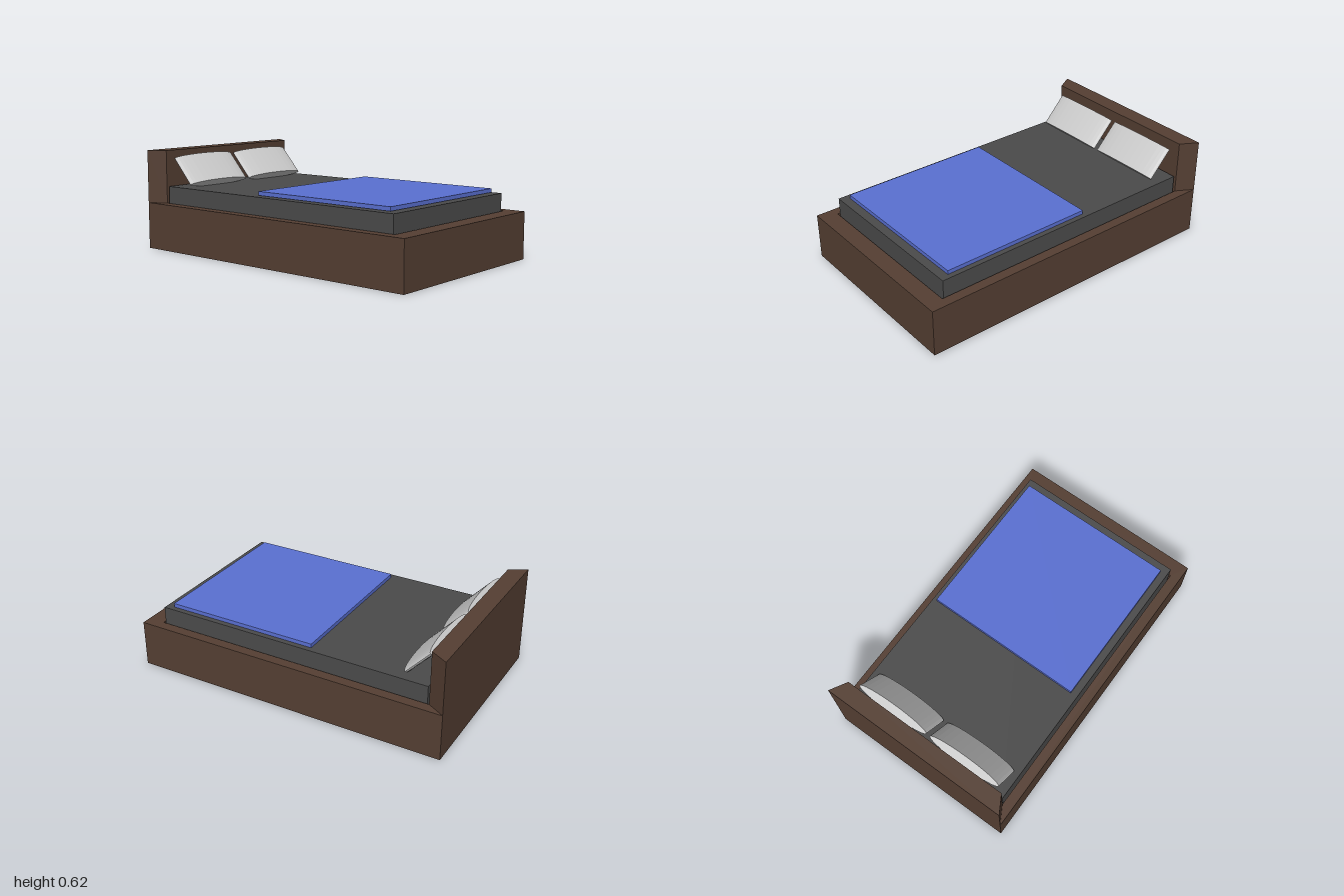
import * as THREE from 'three';

const mat = (color) => new THREE.MeshStandardMaterial({ color });
const wood = mat(0x553f33), grey = mat(0x4b4b4b), blue = mat(0x5a70d2), white = mat(0xcccccc);

// Outer and inner outline of the bed frame
const X = 1, Z = 0.605, IX = 0.893, IZ = 0.543;
const RIM = 0.291, FLOOR = 0.19;

function add(group, name, geometry, material) {
  const mesh = new THREE.Mesh(geometry, material);
  mesh.name = name;
  group.add(mesh);
  return mesh;
}

// Box given by its min and max corners
function box(x0, x1, y0, y1, z0, z1) {
  return new THREE.BoxGeometry(x1 - x0, y1 - y0, z1 - z0)
    .translate((x0 + x1) / 2, (y0 + y1) / 2, (z0 + z1) / 2);
}

// Upright prism over a plan outline of [x, z] points, with an optional hole
function prism(outline, y0, y1, hole) {
  const points = (list) => list.map(([x, z]) => new THREE.Vector2(x, -z));
  const shape = new THREE.Shape(points(outline));
  if (hole) shape.holes.push(new THREE.Path(points(hole)));
  return new THREE.ExtrudeGeometry(shape, { depth: y1 - y0, bevelEnabled: false })
    .rotateX(-Math.PI / 2).translate(0, y0, 0);
}

const rect = (x, z) => [[-x, z], [x, z], [x, -z], [-x, -z]];

export function createModel() {
  const bed = new THREE.Group();
  bed.name = 'bed';

  // Frame: rim around a recess that holds the mattress
  add(bed, 'frame', prism(rect(X, Z), 0, RIM, rect(IX, IZ)), wood);
  add(bed, 'frameFloor', box(-IX, IX, 0, FLOOR, -IZ, IZ), wood);

  // Headboard: its sides taper from the outer to the inner outline
  add(bed, 'headboard', prism([[-X, Z], [-IX, IZ], [-IX, -IZ], [-X, -Z]], RIM, 0.623), wood);

  // Mattress and blanket
  add(bed, 'mattress', box(-0.88, 0.88, FLOOR, 0.397, -0.536, 0.536), grey);
  add(bed, 'blanket', box(-0.139, 0.827, 0.4, 0.424, -0.508, 0.492), blue);

  // Pillows: flat elliptical cylinders leaning back towards the headboard
  const pillowMat = white.clone();
  pillowMat.flatShading = true;
  const pillowGeo = new THREE.CylinderGeometry(1, 1, 0.214, 32).scale(0.0325, 1, 0.242);
  for (const [name, z] of [['leftPillow', 0.258], ['rightPillow', -0.252]]) {
    const pillow = add(bed, name, pillowGeo, pillowMat);
    pillow.position.set(-0.7915, 0.4945, z);
    pillow.rotation.z = 0.746;
  }

  return bed;
}
